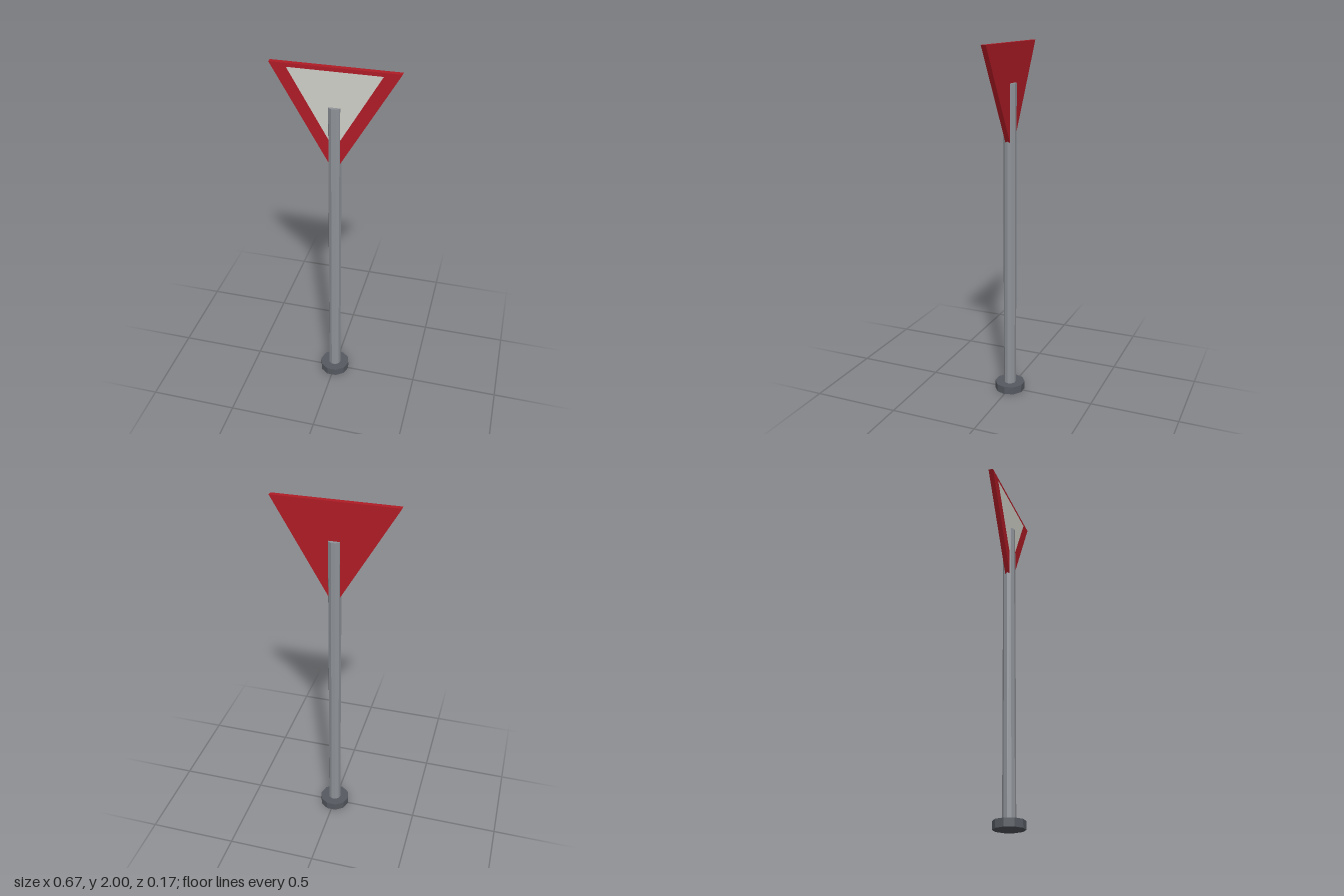
import * as THREE from 'three';

const material = (color) => new THREE.MeshStandardMaterial({ color, flatShading: true });

// Ten-sided upright post section with corners on the x axis
function decagon(name, radius, bottom, top, color) {
  const geometry = new THREE.CylinderGeometry(radius, radius, top - bottom, 10, 1, false, Math.PI / 2);
  const mesh = new THREE.Mesh(geometry, material(color));
  mesh.name = name;
  mesh.position.y = (bottom + top) / 2;
  return mesh;
}

// Equilateral triangle pointing down, hanging from its top edge
function triangle(halfWidth, top) {
  return new THREE.Shape([
    new THREE.Vector2(-halfWidth, top),
    new THREE.Vector2(0, top - halfWidth * Math.sqrt(3)),
    new THREE.Vector2(halfWidth, top),
  ]);
}

export function createModel() {
  const model = new THREE.Group();
  model.name = 'yieldSign';

  // Foot and pole
  model.add(decagon('base', 0.087, 0, 0.045, 0x565a61));
  model.add(decagon('pole', 0.036, 0.045, 1.79, 0x8f9398));

  // Red plate
  const depth = 0.027;
  const plate = new THREE.Mesh(
    new THREE.ExtrudeGeometry(triangle(0.335, 2), { depth, bevelEnabled: false }),
    material(0xb01c26)
  );
  plate.name = 'signPlate';
  plate.position.z = -depth / 2;
  model.add(plate);

  // Pale face panel, front only
  const panel = new THREE.Mesh(new THREE.ShapeGeometry(triangle(0.245, 1.98)), material(0xd2d1cb));
  panel.name = 'signFace';
  panel.position.z = depth / 2 + 0.001;
  model.add(panel);

  return model;
}
